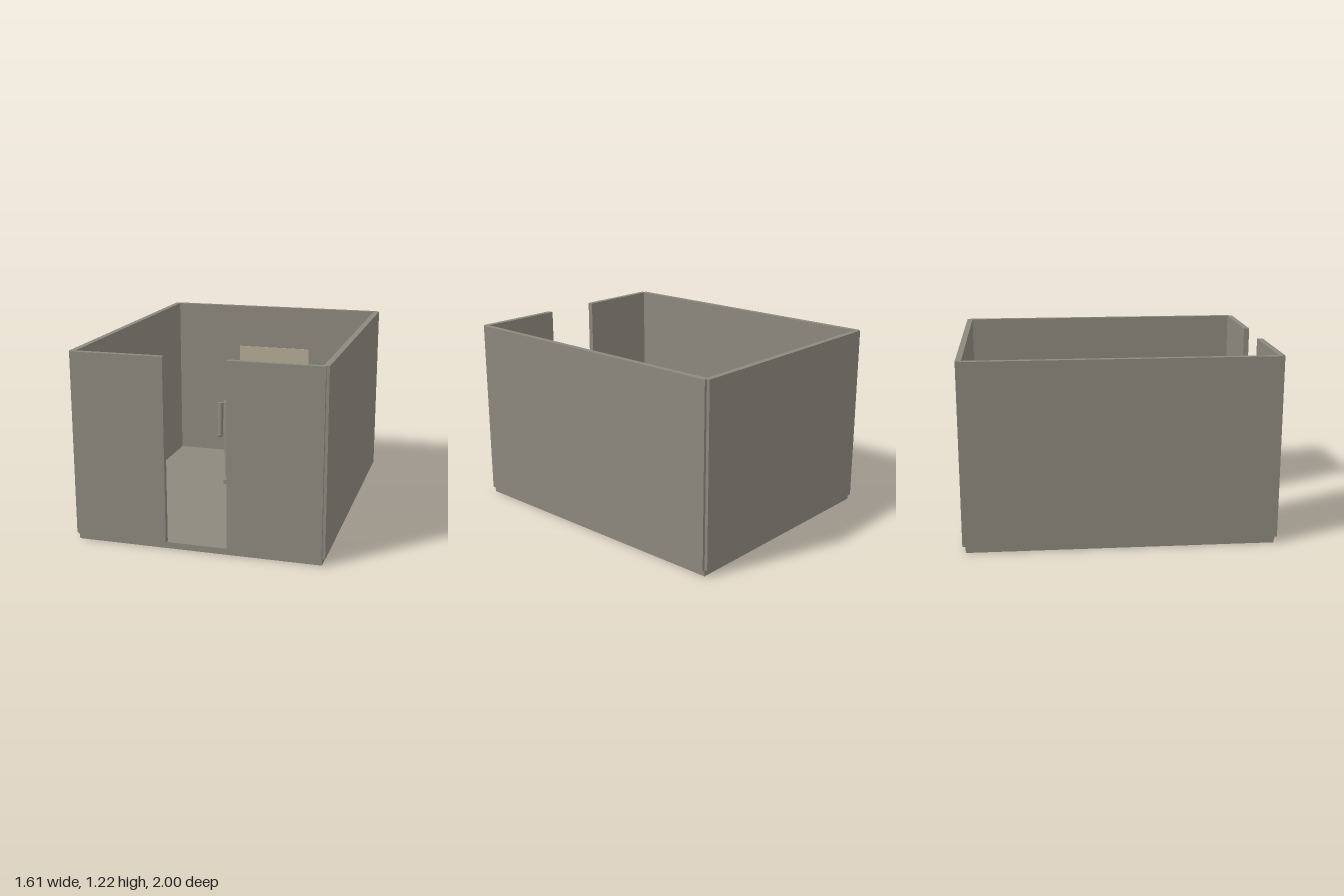
import * as THREE from 'three';

export function createModel() {
  const root = new THREE.Group();
  root.name = 'room';
  const stone = new THREE.MeshStandardMaterial({ name: 'warm grey', color: 0x8c887d });
  const cream = new THREE.MeshStandardMaterial({ name: 'pale cream', color: 0xb4ab94 });

  function add(parent, name, geometry, x, y, z, material = stone) {
    const mesh = new THREE.Mesh(geometry, material);
    mesh.name = name;
    mesh.position.set(x, y, z);
    parent.add(mesh);
    return mesh;
  }
  const box = (w, h, d) => new THREE.BoxGeometry(w, h, d);
  const rod = (top, bottom, h) => new THREE.CylinderGeometry(top, bottom, h, 24);

  // Floor slab and the walls standing on it, overhanging its edges
  const FLOOR = 0.04, HEIGHT = 1.18, THICK = 0.037;
  const wallY = FLOOR + HEIGHT / 2;
  add(root, 'floor', box(1.57, FLOOR, 1.96), 0, FLOOR / 2, 0);
  add(root, 'backWall', box(1.57, HEIGHT, THICK), 0, wallY, -1 + THICK / 2);
  for (const [side, s] of [['left', 1], ['right', -1]]) {
    add(root, side + 'Wall', box(THICK, HEIGHT, 1.96), s * (0.803 - THICK / 2), wallY, 0);
    add(root, side + 'FrontWall', box(0.588, HEIGHT, THICK), s * 0.491, wallY, 1 - THICK / 2);
  }

  // Pale panel on the inside of the back wall
  add(root, 'wallPanel', box(0.55, 0.394, 0.007), 0, 0.708, -0.9598, cream);

  // Headless standing figure, facing +z before it is turned
  function figure(name, x, z, turn) {
    const body = new THREE.Group();
    body.name = name;
    body.position.set(x, FLOOR, z);
    body.rotation.y = turn;
    add(body, 'torso', new THREE.CylinderGeometry(0.07, 0.07, 0.225, 32), 0, 0.491, 0);
    for (const [side, s] of [['left', 1], ['right', -1]]) {
      // Legs and feet
      add(body, side + 'Thigh', rod(0.028, 0.027, 0.185), s * 0.039, 0.288, 0);
      add(body, side + 'Shin', rod(0.025, 0.022, 0.165), s * 0.039, 0.113, 0);
      add(body, side + 'Foot', box(0.038, 0.03, 0.105), s * 0.04, 0.015, 0.024);
      // Arms, swung slightly forward from the shoulder
      const arm = new THREE.Group();
      arm.name = side + 'Arm';
      arm.position.set(s * 0.092, 0.593, 0.005);
      arm.rotation.x = -0.08;
      add(arm, side + 'UpperArm', rod(0.021, 0.021, 0.12), 0, -0.06, 0);
      add(arm, side + 'Forearm', rod(0.019, 0.018, 0.115), 0, -0.177, 0);
      add(arm, side + 'Hand', new THREE.SphereGeometry(0.019, 20, 14), 0, -0.236, 0);
      body.add(arm);
    }
    root.add(body);
  }
  figure('doorFigure', -0.12, -0.24, 0.08);
  figure('sideFigure', 0.445, -0.495, -Math.PI / 2);

  return root;
}
